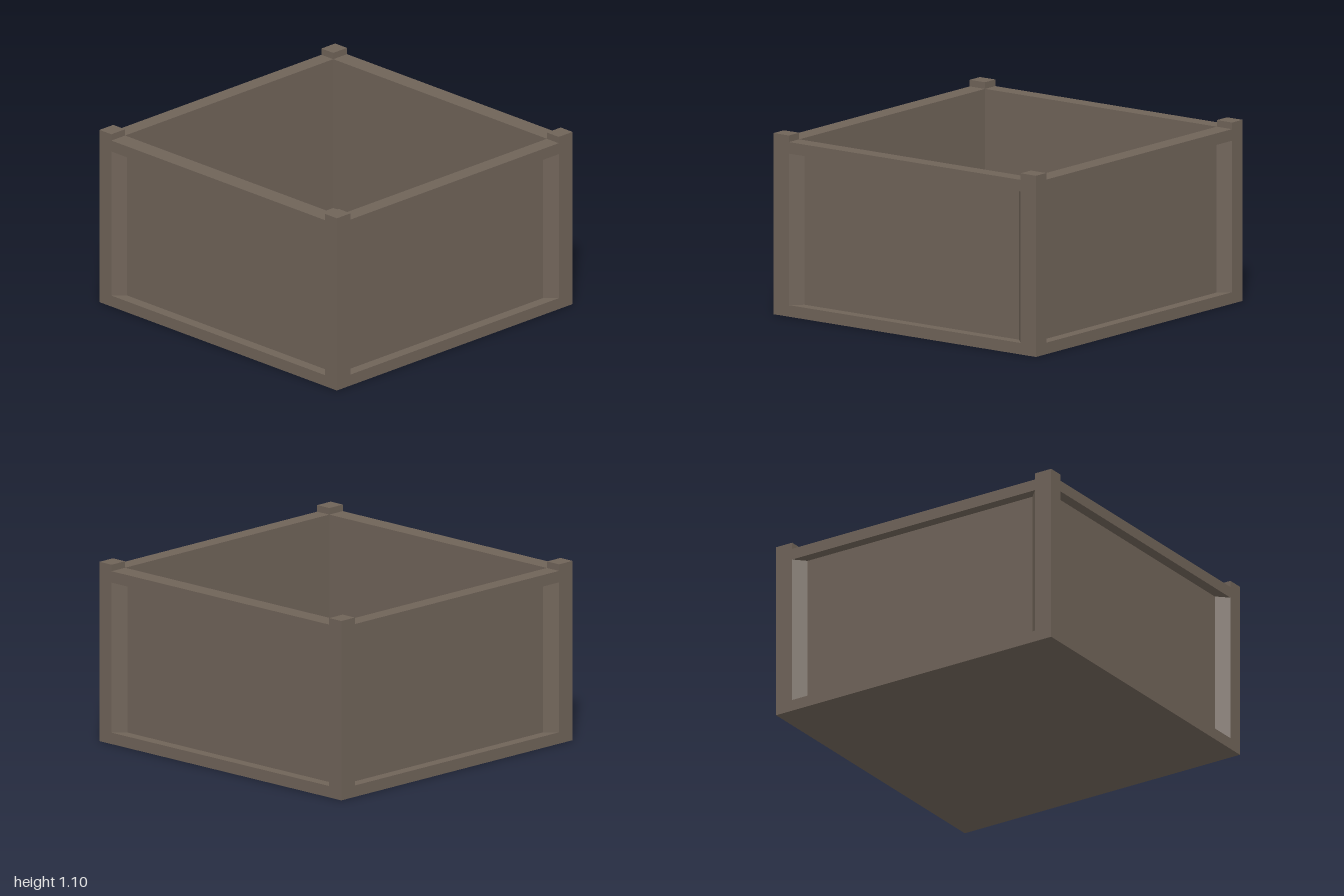
import * as THREE from 'three';

const HX = 0.985, HZ = 1;         // outer half sizes
const IX = 0.87, IZ = 0.9;        // inner half sizes
const BASE = 0.07, PANEL_TOP = 0.99, RIM = 1.06, POST_TOP = 1.1, FLOOR = 0.11;
const DEPTH = 0.068, SPLAY = 0.065; // recess depth and slant of its ends

export function createModel() {
  const group = new THREE.Group();
  const material = new THREE.MeshStandardMaterial({ color: 0x6f6358, flatShading: true });

  const add = (name, geometry) => {
    const mesh = new THREE.Mesh(geometry, material);
    mesh.name = name;
    group.add(mesh);
    return mesh;
  };

  const points = (list) => list.map(([x, y]) => new THREE.Vector2(x, y));
  const opening = () => new THREE.Path(points([[-IX, -IZ], [-IX, IZ], [IX, IZ], [IX, -IZ]]));

  // Raises a plan outline, with the inside cut out, from one height to another
  const ring = (name, outline, y0, y1) => {
    const shape = new THREE.Shape(points(outline));
    shape.holes.push(opening());
    const geometry = new THREE.ExtrudeGeometry(shape, { depth: y1 - y0, bevelEnabled: false });
    geometry.rotateX(-Math.PI / 2).translate(0, y0, 0);
    add(name, geometry);
  };

  const box = (name, w, h, d, x, y, z) =>
    add(name, new THREE.BoxGeometry(w, h, d)).position.set(x, y + h / 2, z);

  // Base slab and raised inner floor
  box('base', HX * 2, BASE, HZ * 2, 0, 0, 0);
  box('floor', IX * 2, FLOOR - BASE, IZ * 2, 0, BASE, 0);

  // Walls with a splayed recess on each side, then the top rail
  const a = IX - SPLAY, b = IZ - SPLAY, px = HX - DEPTH, pz = HZ - DEPTH;
  const half = [
    [HX, -HZ], [HX, -IZ], [px, -b], [px, b], [HX, IZ],
    [HX, HZ], [IX, HZ], [a, pz], [-a, pz], [-IX, HZ],
  ];
  const recessed = [...half, ...half.map(([x, y]) => [-x, -y])];
  ring('panelWalls', recessed, BASE, PANEL_TOP);
  ring('topRail', [[-HX, -HZ], [HX, -HZ], [HX, HZ], [-HX, HZ]], PANEL_TOP, RIM);

  // Corner post caps
  for (const sx of [-1, 1]) {
    for (const sz of [-1, 1]) {
      box('cornerPost', HX - IX, POST_TOP - RIM, HZ - IZ,
        sx * (HX + IX) / 2, RIM, sz * (HZ + IZ) / 2);
    }
  }
  return group;
}
